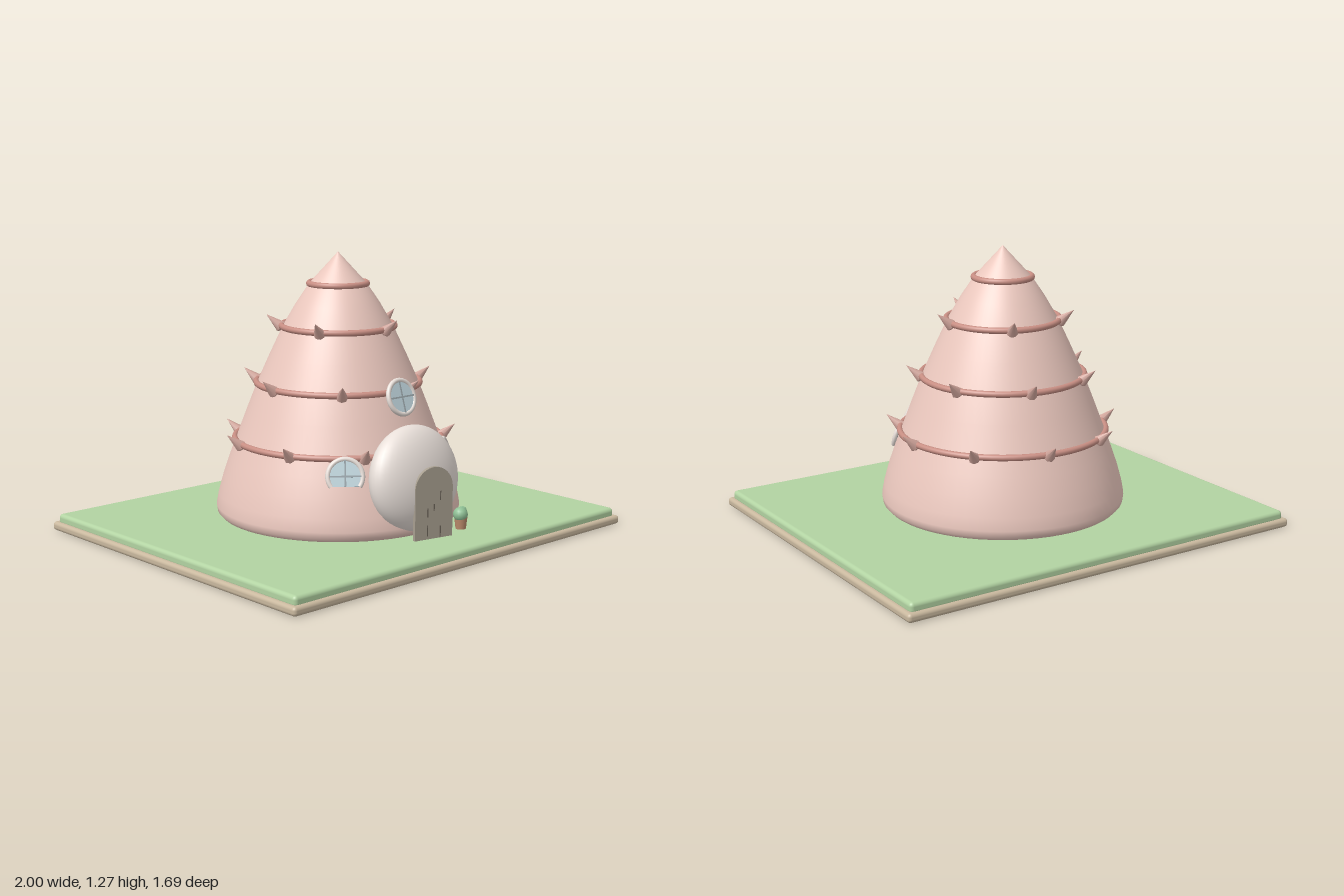
import * as THREE from 'three';
import { RoundedBoxGeometry } from 'three/addons/geometries/RoundedBoxGeometry.js';

const paint = (color, extra = {}) => new THREE.MeshStandardMaterial({ color, ...extra });
const wall = paint(0xebc8be), ringPaint = paint(0xc98f84), spikePaint = paint(0xd3a79d);
const white = paint(0xe8dfd9), wood = paint(0xa89f90), darkWood = paint(0x6b6358);
const glass = paint(0xc2d8e0), barPaint = paint(0x9aa6ab), leaf = paint(0x8fc095);

function add(parent, name, geometry, material, x = 0, y = 0, z = 0) {
  const mesh = new THREE.Mesh(geometry, material);
  mesh.name = name;
  mesh.position.set(x, y, z);
  parent.add(mesh);
  return mesh;
}

// Window facing +z: glass disc, cross bars and a frame arc; an arched one gets a flat bottom
function makeWindow(name, r, arched) {
  const g = new THREE.Group();
  g.name = name;
  const start = arched ? -Math.PI * 0.2 : 0;
  const sweep = arched ? Math.PI * 1.4 : Math.PI * 2;
  const pane = new THREE.Shape();
  pane.absarc(0, 0, r, start, start + sweep, false);
  const paneGeo = new THREE.ExtrudeGeometry(pane, { depth: 0.012, bevelEnabled: false, curveSegments: 32 });
  add(g, 'windowGlass', paneGeo, glass, 0, 0, -0.006);
  const frame = add(g, 'windowFrame', new THREE.TorusGeometry(r, 0.011, 10, 40, sweep), white);
  frame.rotation.z = start;
  const low = arched ? -r * 0.58 : -r;
  add(g, 'windowUpright', new THREE.BoxGeometry(0.007, r - low, 0.018), barPaint, 0, (r + low) / 2, 0);
  add(g, 'windowCrossbar', new THREE.BoxGeometry(r * 2, 0.007, 0.018), barPaint);
  return g;
}

export function createModel() {
  const model = new THREE.Group();
  model.name = 'coneHouse';

  // Ground slab and lawn
  add(model, 'baseSlab', new RoundedBoxGeometry(2, 0.04, 1.69, 4, 0.016), paint(0xc9b89e), 0, 0.02, 0);
  add(model, 'lawn', new RoundedBoxGeometry(1.96, 0.05, 1.65, 4, 0.018), paint(0xb2d3a2), 0, 0.051, 0);

  // Conical house body
  const profile = [
    [0, 0.07], [0.5, 0.072], [0.535, 0.08], [0.552, 0.098], [0.556, 0.125], [0.546, 0.18], [0.524, 0.26],
    [0.495, 0.345], [0.463, 0.43], [0.414, 0.56], [0.365, 0.685], [0.309, 0.81], [0.248, 0.94],
    [0.19, 1.04], [0.13, 1.13], [0, 1.272],
  ].map(([r, y]) => new THREE.Vector2(r, y));
  add(model, 'houseBody', new THREE.LatheGeometry(profile, 64), wall);

  // Ring bands, each with evenly spaced thorns
  const spikeGeo = new THREE.ConeGeometry(0.027, 0.085, 8).translate(0, 0.03, 0);
  const knobGeo = new THREE.SphereGeometry(0.027, 8, 6);
  const up = new THREE.Vector3(0, 1, 0);
  for (const [y, r, count] of [[0.43, 0.47, 9], [0.685, 0.37, 7], [0.94, 0.255, 5], [1.13, 0.13, 0]]) {
    const ring = add(model, 'ringBand', new THREE.TorusGeometry(r, 0.014, 10, 64), ringPaint, 0, y, 0);
    ring.rotation.x = Math.PI / 2;
    for (let i = 0; i < count; i++) {
      const a = THREE.MathUtils.degToRad(78.5 + (i * 360) / count);
      const spike = new THREE.Group();
      spike.name = 'thorn';
      add(spike, 'thornCone', spikeGeo, spikePaint);
      add(spike, 'thornRoot', knobGeo, spikePaint, 0, -0.012, 0).scale.y = 0.5;
      spike.position.set(Math.cos(a) * (r + 0.012), y + 0.002, Math.sin(a) * (r + 0.012));
      const out = new THREE.Vector3(Math.cos(a), 0.85, Math.sin(a)).normalize();
      spike.quaternion.setFromUnitVectors(up, out);
      model.add(spike);
    }
  }

  // Round porch leaning against the wall
  const porch = add(model, 'porch', new THREE.SphereGeometry(1, 40, 28), white, 0, 0.318, 0.49);
  porch.scale.set(0.25, 0.235, 0.113);
  porch.rotation.x = -0.15;

  // Arched plank door standing slightly ajar
  const door = new THREE.Group();
  door.name = 'door';
  const arch = new THREE.Shape();
  arch.moveTo(-0.097, 0);
  arch.lineTo(0.097, 0);
  arch.lineTo(0.097, 0.222);
  arch.absarc(0, 0.222, 0.097, 0, Math.PI, false);
  arch.closePath();
  const doorGeo = new THREE.ExtrudeGeometry(arch, { depth: 0.016, bevelEnabled: false, curveSegments: 20 });
  add(door, 'doorPanel', doorGeo, wood, 0, 0, -0.008);
  for (const [x, y, h] of [[-0.033, 0.04, 0.05], [0.033, 0.03, 0.05], [0.033, 0.19, 0.04], [-0.033, 0.12, 0.04], [0.0, 0.14, 0.03]])
    add(door, 'doorGroove', new THREE.BoxGeometry(0.005, h, 0.019), darkWood, x, y, 0);
  door.position.set(-0.005, 0.074, 0.612);
  door.rotation.y = -0.2;
  model.add(door);

  // Round upper window, leaning with the wall
  const upper = makeWindow('upperWindow', 0.075, false);
  upper.position.set(0, 0.667, 0.408);
  upper.rotation.x = -0.3;
  model.add(upper);

  // Arched side windows
  for (const side of [-1, 1]) {
    const win = makeWindow(side > 0 ? 'leftWindow' : 'rightWindow', 0.075, true);
    win.rotation.order = 'YXZ';
    win.rotation.set(-0.28, side * 0.68, 0);
    win.position.set(side * 0.314, 0.36, 0.388);
    model.add(win);
  }

  // Potted plant by the door
  const pot = new THREE.Group();
  pot.name = 'pottedPlant';
  add(pot, 'pot', new THREE.CylinderGeometry(0.03, 0.023, 0.06, 16), paint(0xbd8c6c), 0, 0.03, 0);
  add(pot, 'bush', new THREE.SphereGeometry(0.033, 14, 10), leaf, -0.003, 0.066, 0);
  add(pot, 'smallBush', new THREE.SphereGeometry(0.02, 12, 8), leaf, 0.023, 0.075, -0.012);
  pot.position.set(0.197, 0.075, 0.588);
  model.add(pot);

  return model;
}
